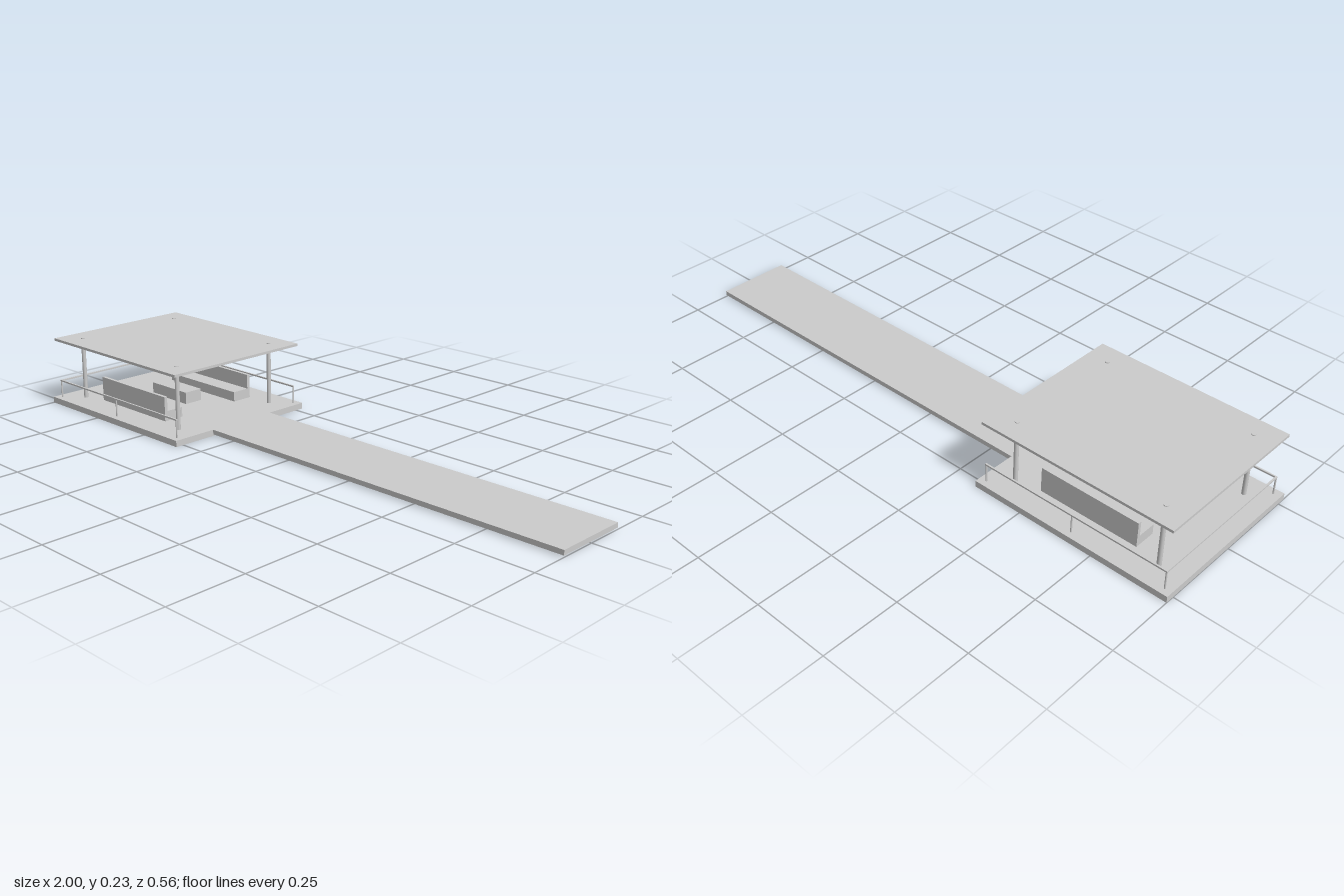
import * as THREE from 'three';

const CX = -0.667; // centre of the pavilion along x
const material = new THREE.MeshStandardMaterial({ color: 0xcccccc });

function add(parent, name, geometry, x = 0, y = 0, z = 0) {
  const mesh = new THREE.Mesh(geometry, material);
  mesh.name = name;
  mesh.position.set(x, y, z);
  parent.add(mesh);
  return mesh;
}

// Box given by its minimum and maximum corners
function box(parent, name, [x0, y0, z0], [x1, y1, z1]) {
  return add(parent, name, new THREE.BoxGeometry(x1 - x0, y1 - y0, z1 - z0),
    (x0 + x1) / 2, (y0 + y1) / 2, (z0 + z1) / 2);
}

// Upright round post
function post(parent, name, radius, x, z, y0, y1) {
  return add(parent, name, new THREE.CylinderGeometry(radius, radius, y1 - y0, 16), x, (y0 + y1) / 2, z);
}

// L-shaped bench: seat and backrest in one profile, facing the table
function bench(name, side) {
  const group = new THREE.Group();
  group.name = name;
  const profile = new THREE.Shape([
    [0.115, 0.025], [0.187, 0.025], [0.187, 0.107], [0.176, 0.107], [0.176, 0.058], [0.115, 0.058],
  ].map(([u, v]) => new THREE.Vector2(u, v)));
  const length = 0.333;
  const geometry = new THREE.ExtrudeGeometry(profile, { depth: length, bevelEnabled: false });
  geometry.translate(0, 0, -length / 2);
  geometry.rotateY(-side * Math.PI / 2); // profile u axis becomes +z or -z
  add(group, 'seatAndBackrest', geometry, CX);
  return group;
}

// Railing on three sides, open toward the walkway
function railing() {
  const group = new THREE.Group();
  group.name = 'railing';
  const half = 0.31, z = 0.2565, r = 0.0027, y0 = 0.077, y1 = 0.082;
  for (const s of [-1, 1]) {
    for (const k of [-1, 0, 1]) post(group, 'railPost', r, CX + k * half, s * z, 0.02, 0.079);
    box(group, 'sideRail', [CX - half - r, y0, s * z - r], [CX + half + r, y1, s * z + r]);
  }
  box(group, 'endRail', [CX - half - r, y0, -z + r], [CX - half + r, y1, z - r]);
  return group;
}

export function createModel() {
  const model = new THREE.Group();
  model.name = 'dockPavilion';

  // Floor and walkway
  box(model, 'deck', [-1, 0, -0.278], [-0.335, 0.0205, 0.278]);
  box(model, 'walkway', [-0.335, 0.005, -0.125], [1, 0.0205, 0.125]);

  // Roof on four posts that poke slightly through it
  box(model, 'roof', [-0.988, 0.2215, -0.267], [-0.346, 0.23, 0.267]);
  for (const sx of [-1, 1]) {
    for (const sz of [-1, 1]) post(model, 'roofPost', 0.0072, CX + sx * 0.25, sz * 0.2, 0.02, 0.2325);
  }

  // Furniture
  model.add(bench('frontBench', 1), bench('backBench', -1));
  box(model, 'table', [CX - 0.088, 0.032, -0.033], [CX + 0.088, 0.072, 0.033]);

  model.add(railing());
  return model;
}
